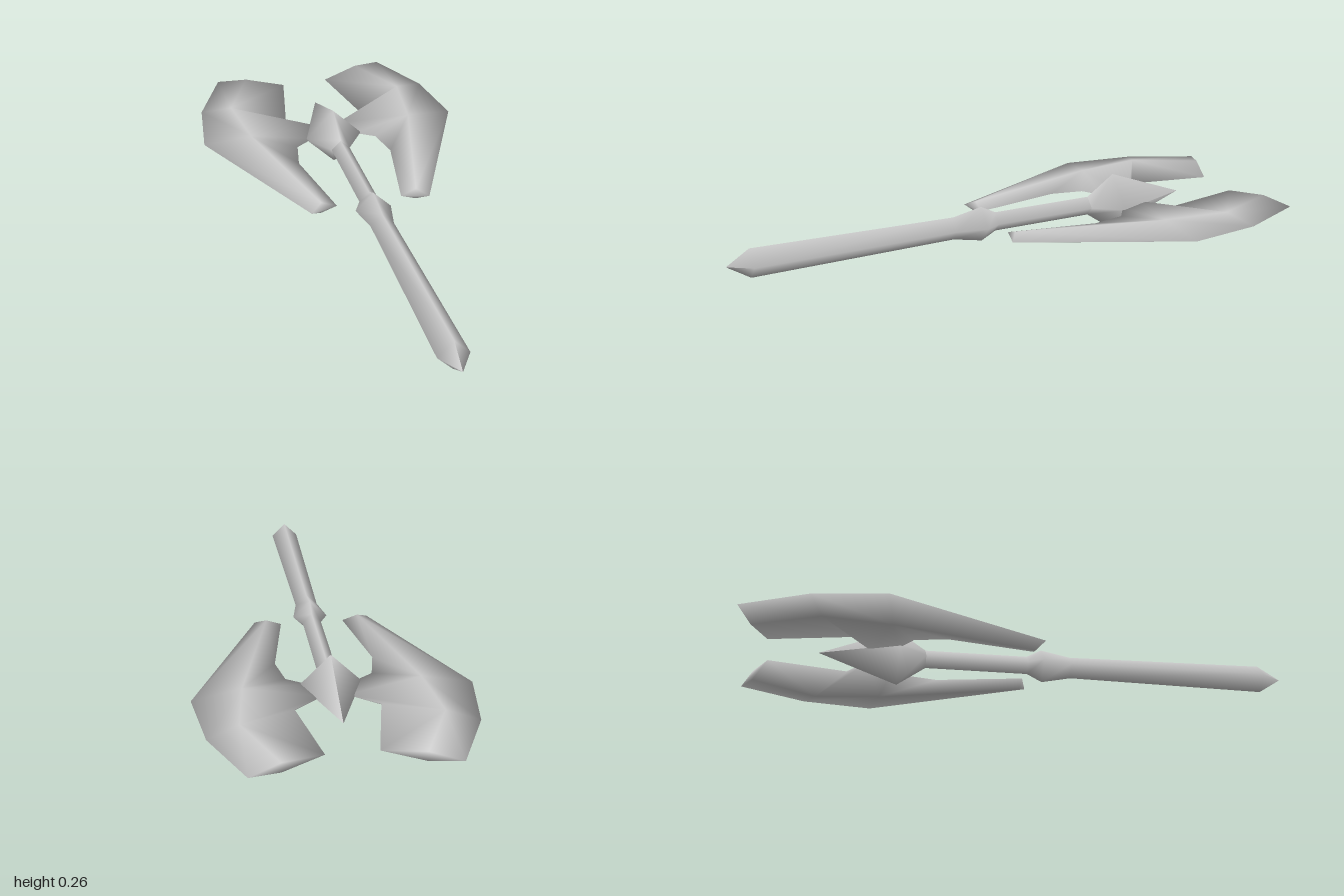
import * as THREE from 'three';

const MID = 0.135;    // height of the weapon's middle plane

// One blade in plan: sharp outer and inner rims on the middle plane, [x, z]
const OUTER = [[-0.42, -1.0], [-0.12, -0.89], [0.13, -0.70], [0.385, 0.02]];
const INNER = [[-0.55, -0.70], [-0.25, -0.50], [-0.275, -0.345], [-0.16, -0.30],
  [-0.06, -0.32], [0.06, -0.24], [0.28, 0.08]];
// Raised spine between the rims: x, z, half thickness
const SPINE = [[-0.475, -0.87, 0.021], [-0.18, -0.76, 0.029], [0.0, -0.53, 0.029], [0.325, 0.03, 0.025]];
// Spine point facing each inner rim point
const INNER_TO_SPINE = [0, 1, 1, 2, 2, 2, 3];

// Smooth normals, each face weighted by its corner angle
function smoothNormals(g) {
  const p = g.attributes.position, idx = g.index.array;
  const sums = Array.from({ length: p.count }, () => new THREE.Vector3());
  const point = (i) => new THREE.Vector3().fromBufferAttribute(p, i);
  for (let f = 0; f < idx.length; f += 3) {
    for (let k = 0; k < 3; k++) {
      const a = point(idx[f + k]);
      const ab = point(idx[f + (k + 1) % 3]).sub(a);
      const ac = point(idx[f + (k + 2) % 3]).sub(a);
      const normal = ab.clone().cross(ac).normalize();
      sums[idx[f + k]].addScaledVector(normal, ab.angleTo(ac));
    }
  }
  const flat = sums.flatMap((v) => v.normalize().toArray());
  g.setAttribute('normal', new THREE.Float32BufferAttribute(flat, 3));
}

function bladeGeometry(mirrored) {
  const pos = [], index = [];
  const add = (x, y, z) => {
    if (mirrored) pos.push(z, y, x);
    else pos.push(x, y, z);
    return pos.length / 3 - 1;
  };
  const tri = (a, b, c) => (mirrored ? index.push(a, c, b) : index.push(a, b, c));
  const outer = OUTER.map(([x, z]) => add(x, MID, z));
  const inner = INNER.map(([x, z]) => add(x, MID, z));
  const top = SPINE.map(([x, z, h]) => add(x, MID + h, z));
  const bottom = SPINE.map(([x, z, h]) => add(x, MID - h, z));

  // Upper face, and the lower face with the corners reversed
  for (const [spine, face] of [[top, tri], [bottom, (a, b, c) => tri(a, c, b)]]) {
    for (let i = 0; i < outer.length - 1; i++) {
      face(outer[i], spine[i], spine[i + 1]);
      face(outer[i], spine[i + 1], outer[i + 1]);
    }
    for (let i = 0; i < inner.length - 1; i++) {
      const s = INNER_TO_SPINE[i], t = INNER_TO_SPINE[i + 1];
      face(inner[i], inner[i + 1], spine[t]);
      if (s !== t) face(inner[i], spine[t], spine[s]);
    }
  }
  // Diamond-shaped walls closing the tip and the tail
  const wall = (o, n, t, b) => {
    tri(o, n, t);
    tri(o, b, n);
  };
  wall(outer[0], inner[0], top[0], bottom[0]);
  wall(inner[6], outer[3], top[3], bottom[3]);

  const g = new THREE.BufferGeometry();
  g.setAttribute('position', new THREE.Float32BufferAttribute(pos, 3));
  g.setIndex(index);
  smoothNormals(g);
  return g;
}

// Four-sided part along the diagonal; profile rows are radius, distance
function turned(profile) {
  const g = new THREE.LatheGeometry(profile.map(([r, t]) => new THREE.Vector2(r, t)), 4);
  g.rotateX(Math.PI / 2);
  g.rotateY(Math.PI / 4);
  g.translate(0, MID, 0);
  return g;
}

export function createModel() {
  const group = new THREE.Group();
  const metal = new THREE.MeshStandardMaterial({ color: 0xcccccc });
  metal.name = 'light grey metal';
  const part = (name, geometry) => {
    const mesh = new THREE.Mesh(geometry, metal);
    mesh.name = name;
    group.add(mesh);
  };

  // Blades mirrored across the handle
  part('rightBlade', bladeGeometry(true));
  part('leftBlade', bladeGeometry(false));

  // Spike between the blades
  part('headSpike', turned([[0, -0.665], [0.13, -0.325], [0.042, -0.2]]));

  // Shaft, collar, grip and pointed pommel in one smooth piece
  part('handle', turned([[0.042, -0.25], [0.042, 0.25], [0.077, 0.315], [0.05, 0.445],
    [0.063, 1.315], [0, 1.412]]));
  return group;
}
